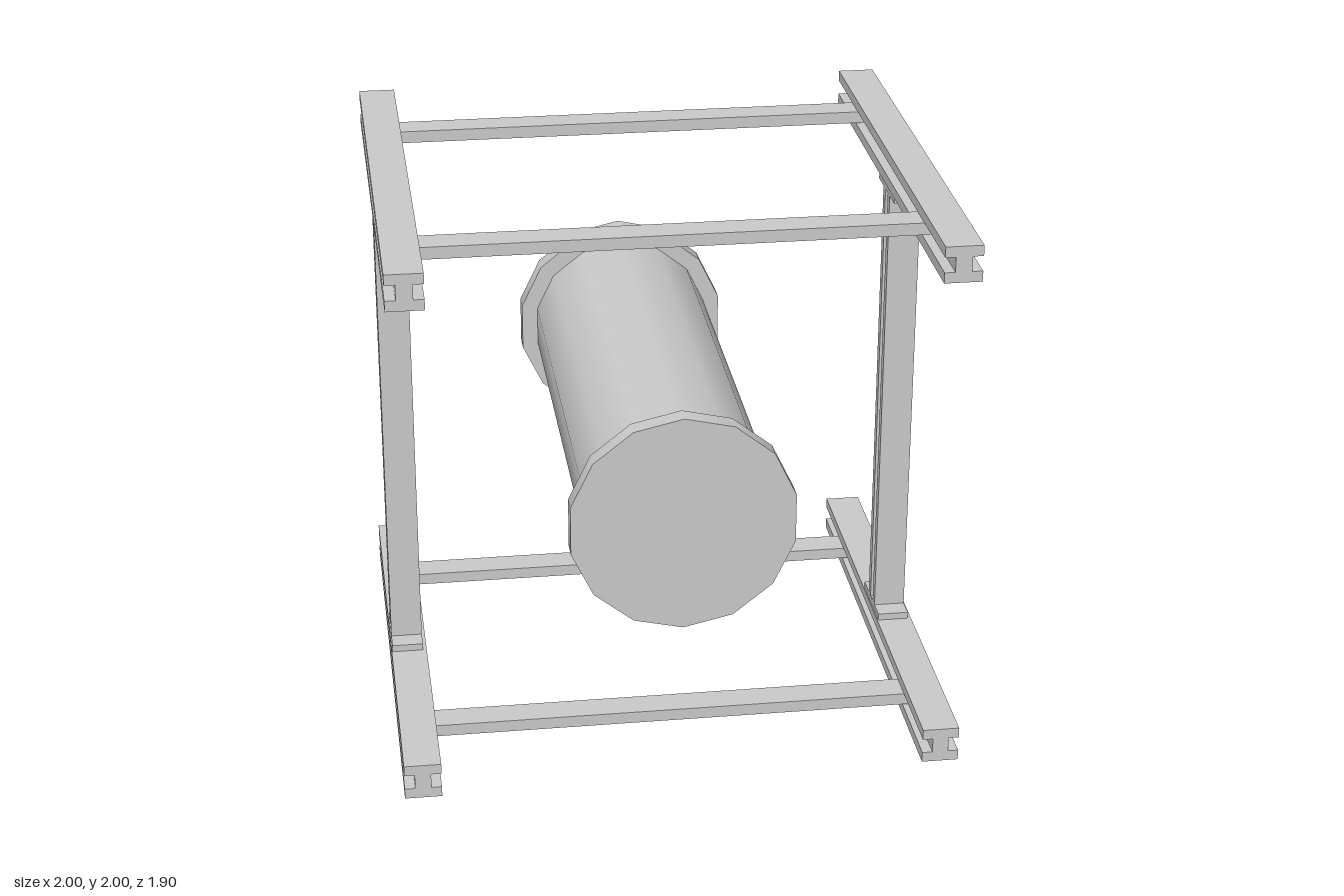
import * as THREE from 'three';

const material = new THREE.MeshStandardMaterial({ color: 0xcccccc });

// Slotted bar profile (grooves on both x sides), extruded along +z and centred
function slottedBar(width, height, groove, depth, length) {
  const w = width / 2, h = height / 2, g = groove / 2, d = w - depth;
  const shape = new THREE.Shape([
    [-w, -h], [w, -h], [w, -g], [d, -g], [d, g], [w, g],
    [w, h], [-w, h], [-w, g], [-d, g], [-d, -g], [-w, -g],
  ].map(([x, y]) => new THREE.Vector2(x, y)));
  return new THREE.ExtrudeGeometry(shape, { depth: length, bevelEnabled: false })
    .translate(0, 0, -length / 2);
}

export function createModel() {
  const group = new THREE.Group();
  const add = (name, geometry, x, y, z) => {
    const mesh = new THREE.Mesh(geometry, material);
    mesh.name = name;
    mesh.position.set(x, y, z);
    group.add(mesh);
  };

  // Four long rails, front to back
  const rail = slottedBar(0.132, 0.131, 0.054, 0.037, 1.868);
  // Upright posts with grooves facing sideways
  const post = slottedBar(0.115, 0.11, 0.04, 0.033, 1.74).rotateX(Math.PI / 2);
  const plate = new THREE.BoxGeometry(0.115, 0.026, 0.265);
  for (const side of [-1, 1]) {
    const name = side > 0 ? 'left' : 'right';
    const postX = side > 0 ? 0.928 : -0.938;
    add(name + 'LowerRail', rail, side * 0.933, 0.0655, 0.017);
    add(name + 'UpperRail', rail, side * 0.933, 1.9345, 0.017);
    add(name + 'Post', post, postX, 1, 0);
    add(name + 'LowerPlate', plate, postX, 0.144, -0.002);
    add(name + 'UpperPlate', plate, postX, 1.856, -0.002);
  }

  // Crossbars seated in the rail grooves
  const crossbar = new THREE.BoxGeometry(1.79, 0.044, 0.111);
  for (const [end, z] of [['front', 0.57], ['back', -0.598]]) {
    add(end + 'LowerCrossbar', crossbar, 0.01, 0.071, z);
    add(end + 'UpperCrossbar', crossbar, 0.01, 1.938, z);
  }

  // Central drum with wider end discs
  const drum = (radius, length) =>
    new THREE.CylinderGeometry(radius, radius, length, 14).rotateX(-Math.PI / 2);
  add('drum', drum(0.341, 1.75), -0.002, 1.003, -0.01);
  add('frontDisc', drum(0.403, 0.07), -0.002, 1.003, 0.881);
  add('backDisc', drum(0.403, 0.076), -0.002, 1.003, -0.91);

  return group;
}
